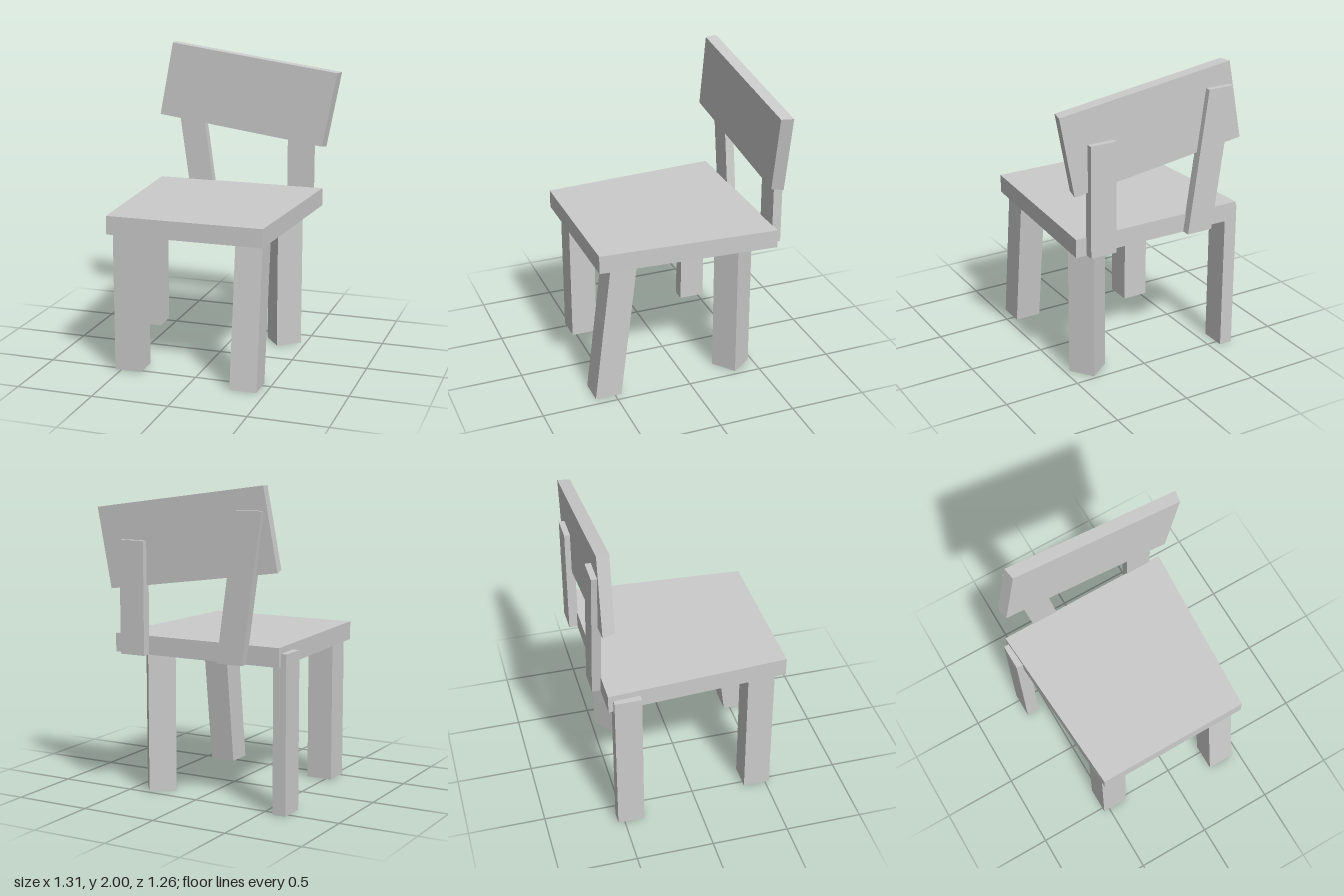
import * as THREE from 'three';

const material = new THREE.MeshStandardMaterial({ color: 0xcccccc, flatShading: true });

// Box spanning the given ranges; an optional rule moves each corner.
function block(name, [x0, x1], [y0, y1], [z0, z1], rule) {
  const geometry = new THREE.BoxGeometry(x1 - x0, y1 - y0, z1 - z0);
  geometry.translate((x0 + x1) / 2, (y0 + y1) / 2, (z0 + z1) / 2);
  if (rule) {
    const pos = geometry.attributes.position;
    const v = new THREE.Vector3();
    for (let i = 0; i < pos.count; i++) {
      rule(v.fromBufferAttribute(pos, i));
      pos.setXYZ(i, v.x, v.y, v.z);
    }
    geometry.computeVertexNormals();
  }
  const mesh = new THREE.Mesh(geometry, material);
  mesh.name = name;
  return mesh;
}

export function createModel() {
  const chair = new THREE.Group();
  chair.name = 'chair';

  // Seat, wider at the back
  chair.add(block('seat', [-0.555, 0.468], [0.92, 1.04], [-0.575, 0.595], (v) => {
    if (v.z < 0) v.x += 0.073 * Math.sign(v.x);
  }));

  // Front legs: one upright, one slanting forward to the floor
  chair.add(block('frontRightLeg', [-0.54, -0.365], [0, 0.92], [0.352, 0.527]));
  chair.add(block('frontLeftLeg', [0.27, 0.445], [0, 0.92], [0.342, 0.517], (v) => {
    if (v.y < 0.5) v.z += 0.115;
  }));

  // Back legs: one thin and set outside the seat, one twisted about its axis
  chair.add(block('backRightLeg', [-0.66, -0.572], [0, 1.0], [-0.543, -0.369]));
  const twistedLeg = block('backLeftLeg', [-0.088, 0.088], [0, 0.92], [-0.088, 0.088]);
  twistedLeg.position.set(0.345, 0, -0.355);
  twistedLeg.rotation.y = Math.atan2(0.106, 0.142);
  chair.add(twistedLeg);

  // Back posts: one leaning outward, one straight and shorter
  chair.add(block('backRightPost', [-0.405, -0.23], [0.92, 1.85], [-0.63, -0.57], (v) => {
    if (v.y > 1.5) v.x -= 0.13;
  }));
  chair.add(block('backLeftPost', [0.293, 0.468], [0.92, 1.64], [-0.63, -0.57]));

  // Crooked backrest, slightly smaller on its front face
  const backrest = block('backrest', [-0.597, 0.597], [-0.26, 0.26], [-0.04, 0.04], (v) => {
    if (v.z > 0) {
      v.x -= 0.014 * Math.sign(v.x);
      if (v.y < 0) v.y += 0.012;
    }
  });
  backrest.position.set(0.015, 1.662, -0.553);
  // Skew follows the sloping top edge and the leaning ends
  const lean = new THREE.Matrix4().makeBasis(
    new THREE.Vector3(0.99, -0.136, 0),
    new THREE.Vector3(0.187, 0.982, 0),
    new THREE.Vector3(0, 0, 1)
  );
  backrest.geometry.applyMatrix4(lean);
  chair.add(backrest);

  return chair;
}
